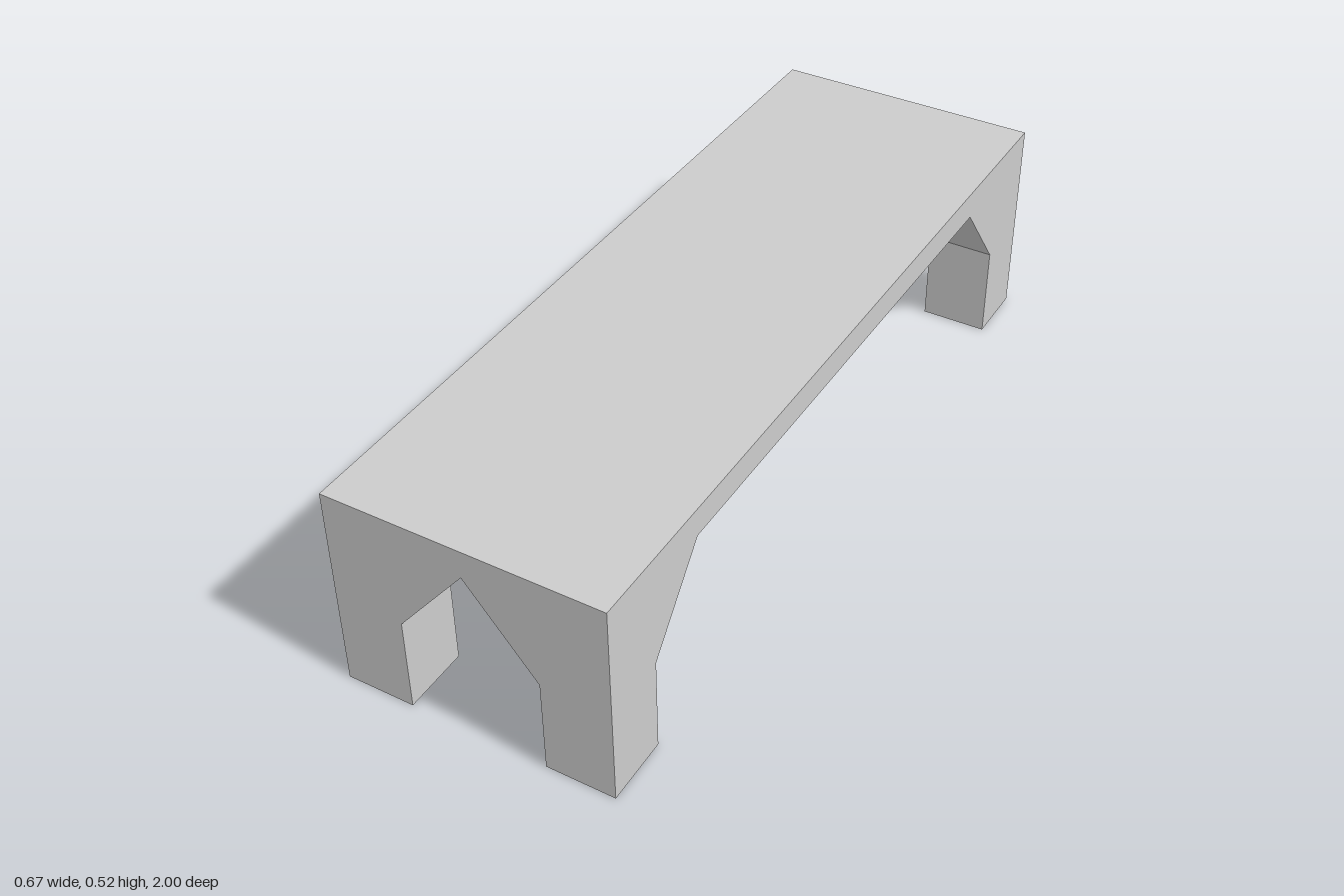
import * as THREE from 'three';
import { ConvexGeometry } from 'three/addons/geometries/ConvexGeometry.js';

const X = 0.337, Z = 1;            // outer half width and half length
const LX = 0.169, LZ = 0.835;      // inner faces of the legs
const BZ = 0.667;                  // where the side braces meet the top
const KNEE = 0.24, UNDER = 0.45, TOP = 0.52;

export function createModel() {
  const group = new THREE.Group();
  const material = new THREE.MeshStandardMaterial({ color: 0xcccccc, flatShading: true });

  const add = (name, geometry) => {
    const mesh = new THREE.Mesh(geometry, material);
    mesh.name = name;
    group.add(mesh);
    return mesh;
  };

  // Flat top slab
  add('top', new THREE.BoxGeometry(2 * X, TOP - UNDER, 2 * Z)).position.y = (TOP + UNDER) / 2;

  for (const sx of [1, -1]) {
    for (const sz of [1, -1]) {
      const hull = (name, points) =>
        add(name, new ConvexGeometry(points.map(([x, y, z]) => new THREE.Vector3(sx * x, y, sz * z))));

      // Square leg up to the slab
      add('leg', new THREE.BoxGeometry(X - LX, UNDER, Z - LZ))
        .position.set(sx * (X + LX) / 2, UNDER / 2, sz * (Z + LZ) / 2);

      // Wedge forming half of the pointed end arch
      hull('endBrace', [LZ, Z].flatMap((z) => [[LX, KNEE, z], [LX, UNDER, z], [0, UNDER, z]]));

      // Wedge under the long side
      hull('sideBrace', [LX, X].flatMap((x) => [[x, KNEE, LZ], [x, UNDER, LZ], [x, UNDER, BZ]]));

      // Inner corner where the two brace slopes meet
      hull('cornerBrace', [
        [LX, KNEE, LZ], [LX, UNDER, LZ], [LX, UNDER, BZ], [0, UNDER, BZ], [0, UNDER, LZ],
      ]);
    }
  }
  return group;
}
